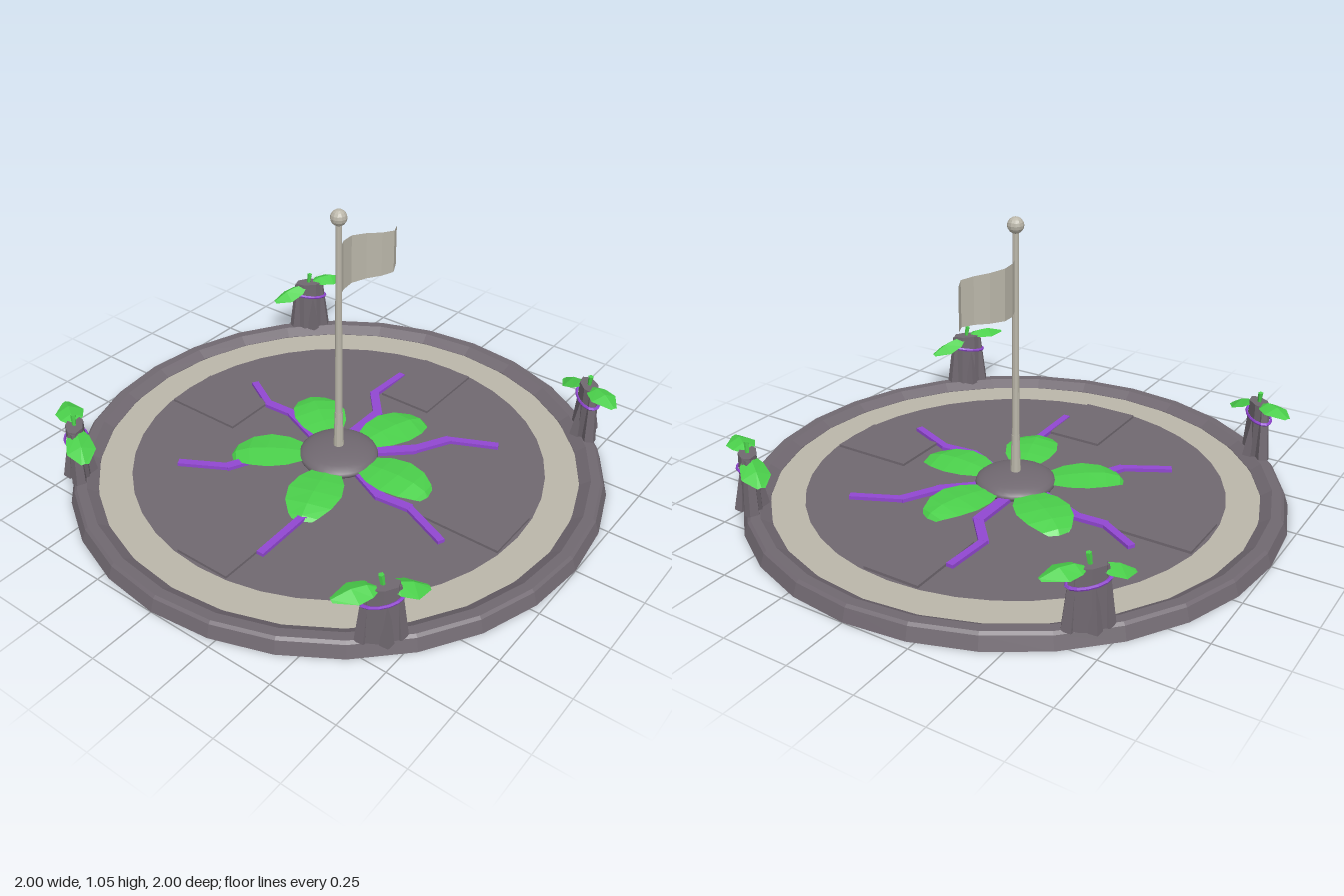
import * as THREE from 'three';

const mat = (name, color, side = THREE.FrontSide) => {
  const m = new THREE.MeshStandardMaterial({ color, side, flatShading: true });
  m.name = name;
  return m;
};

export function createModel() {
  const model = new THREE.Group();
  const stone = mat('stone', 0x706870);
  const dome = stone;
  const sand = mat('sand', 0xbab6a9, THREE.DoubleSide);
  const green = mat('leaf green', 0x4bd04b, THREE.DoubleSide);
  const purple = mat('purple', 0x9147d1);

  const add = (name, geo, material, parent = model, x = 0, y = 0, z = 0) => {
    const m = new THREE.Mesh(geo, material);
    m.name = name;
    m.position.set(x, y, z);
    parent.add(m);
    return m;
  };

  // Folded leaf along +z from rows of [distance, half width, middle y, edge y]
  const leafGeometry = (rows) => {
    const pos = [], idx = [];
    rows.forEach(([z, w, ym, ye], r) => {
      pos.push(-w, ye, z, 0, ym, z + w * 0.12, w, ye, z);
      if (r === 0) return;
      for (let c = 0; c < 2; c++) {
        const a = (r - 1) * 3 + c, b = a + 3;
        idx.push(a, b, a + 1, a + 1, b, b + 1);
      }
    });
    const g = new THREE.BufferGeometry();
    g.setAttribute('position', new THREE.Float32BufferAttribute(pos, 3));
    g.setIndex(idx);
    g.computeVertexNormals();
    return g;
  };

  // Raised rim, hollow underneath
  const rim = [[0.90, 0], [1.0, 0], [0.985, 0.046], [0.975, 0.055], [0.94, 0.055], [0.90, 0.03], [0.90, 0]];
  add('rim', new THREE.LatheGeometry(rim.map(([r, y]) => new THREE.Vector2(r, y)), 28), stone);

  // Floor and pale border band
  add('floor', new THREE.CylinderGeometry(0.905, 0.905, 0.01, 32), stone, model, 0, 0.022, 0);
  const band = new THREE.RingGeometry(0.775, 0.9, 40).rotateX(-Math.PI / 2);
  add('borderBand', band, sand, model, 0, 0.0285, 0);

  // Four paving slabs
  for (let i = 0; i < 4; i++) {
    const slab = add('pavingSlab', new THREE.BoxGeometry(0.22, 0.014, 0.32), stone);
    const a = i * Math.PI / 2;
    slab.position.set(Math.sin(a) * 0.6, 0.03, Math.cos(a) * 0.6);
    slab.rotation.y = a;
  }

  // Glowing cracks that narrow outward and cut through the floor
  const cracks = [
    [[0.03, -0.13], [0.105, -0.31], [0.1, -0.43], [0.18, -0.57]],
    [[0.12, -0.04], [0.31, -0.04], [0.42, -0.135], [0.6, -0.125]],
    [[0.09, 0.09], [0.2, 0.21], [0.33, 0.28], [0.41, 0.45]],
    [[-0.04, 0.12], [-0.11, 0.27], [-0.1, 0.39], [-0.18, 0.575]],
    [[-0.12, 0.04], [-0.23, 0.06], [-0.37, 0.12], [-0.6, 0.125]],
    [[-0.08, -0.1], [-0.2, -0.23], [-0.31, -0.285], [-0.4, -0.445]],
  ];
  for (const path of cracks) {
    for (let i = 0; i < 3; i++) {
      const [x0, z0] = path[i], [x1, z1] = path[i + 1];
      const len = Math.hypot(x1 - x0, z1 - z0) + 0.012;
      const seg = add('crack', new THREE.BoxGeometry(0.042 - i * 0.007, 0.026 - i * 0.001, len), purple,
        model, (x0 + x1) / 2, 0.0285, (z0 + z1) / 2);
      seg.rotation.y = Math.atan2(x1 - x0, z1 - z0);
    }
  }

  // Rosette of five leaves whose tips dip into the floor
  const petal = leafGeometry([[0.12, 0.05, 0.05, 0.045], [0.19, 0.088, 0.06, 0.05], [0.26, 0.102, 0.064, 0.052],
    [0.33, 0.088, 0.06, 0.048], [0.385, 0.055, 0.045, 0.036], [0.415, 0.015, 0.014, 0.014]]);
  for (let i = 0; i < 5; i++) add('rosetteLeaf', petal, green).rotation.y = i * Math.PI * 0.4;

  // Central mound
  const smoothStone = dome.clone();
  smoothStone.flatShading = false;
  smoothStone.name = 'smooth stone';
  add('mound', new THREE.SphereGeometry(0.15, 28, 14).scale(1, 0.28, 1), smoothStone, model, 0, 0.042, 0);

  // Flagpole
  add('poleBase', new THREE.CylinderGeometry(0.015, 0.02, 0.16, 10), sand, model, 0, 0.15, 0);
  add('pole', new THREE.CylinderGeometry(0.011, 0.014, 0.8, 10), sand, model, 0, 0.6, 0);
  add('poleKnob', new THREE.SphereGeometry(0.03, 12, 8), sand, model, 0, 1.022, 0);

  // Waving flag: columns of [x, z, bottom y, top y]
  const cloth = [[0.005, 0, 0.712, 0.902], [0.06, -0.025, 0.712, 0.904], [0.115, -0.03, 0.714, 0.902],
    [0.17, -0.005, 0.717, 0.897], [0.215, 0.03, 0.72, 0.892], [0.262, 0.05, 0.722, 0.888], [0.312, 0.025, 0.726, 0.88]];
  const flag = new THREE.PlaneGeometry(1, 1, cloth.length - 1, 1);
  cloth.forEach(([x, z, y0, y1], i) => {
    flag.attributes.position.setXYZ(i, x, y1, z);
    flag.attributes.position.setXYZ(i + cloth.length, x, y0, z);
  });
  flag.computeVertexNormals();
  add('flag', flag, sand);

  // Four overgrown stumps on the rim; local z points outward
  const highLeaf = leafGeometry([[0.01, 0.012, 0.262, 0.26], [0.045, 0.04, 0.28, 0.262],
    [0.095, 0.052, 0.282, 0.26], [0.165, 0.012, 0.262, 0.258]]);
  const lowLeaf = leafGeometry([[0.01, 0.012, 0.262, 0.26], [0.045, 0.042, 0.258, 0.235],
    [0.1, 0.052, 0.238, 0.212], [0.16, 0.014, 0.202, 0.198]]);
  for (let i = 0; i < 4; i++) {
    const stump = new THREE.Group();
    stump.name = 'stump';
    const a = Math.PI / 4 + i * Math.PI / 2;
    stump.position.set(Math.sin(a) * 0.96, 0, Math.cos(a) * 0.96);
    stump.rotation.y = a;
    model.add(stump);

    add('trunk', new THREE.CylinderGeometry(0.06, 0.068, 0.215, 7).scale(1, 1, 0.55), stone, stump, 0, 0.158, 0);
    for (const s of [-1, 1]) {
      const shard = add('trunkShard', new THREE.CylinderGeometry(0.018, 0.028, 0.21, 5), stone, stump, s * 0.052, 0.153, 0);
      shard.rotation.z = s * 0.08;
      const root = add('root', new THREE.CylinderGeometry(0.009, 0.024, 0.15, 4), stone, stump, s * 0.012, 0.125, s * 0.03);
      root.rotation.x = -s * 0.1;
    }
    // Purple vine tied around the trunk
    const vine = add('vine', new THREE.TorusGeometry(0.066, 0.007, 5, 14).rotateX(Math.PI / 2).scale(1.05, 1, 0.62),
      purple, stump, 0, 0.21, 0);
    vine.rotation.z = 0.15;
    // Leaves and sprout on top
    add('highLeaf', highLeaf, green, stump).rotation.y = -Math.PI / 2 + 0.25;
    add('lowLeaf', lowLeaf, green, stump).rotation.y = Math.PI / 2 + 0.25;
    const sprout = add('sprout', new THREE.CylinderGeometry(0.01, 0.007, 0.05, 5), green, stump, 0, 0.28, 0);
    sprout.rotation.z = 0.15;
  }
  return model;
}
